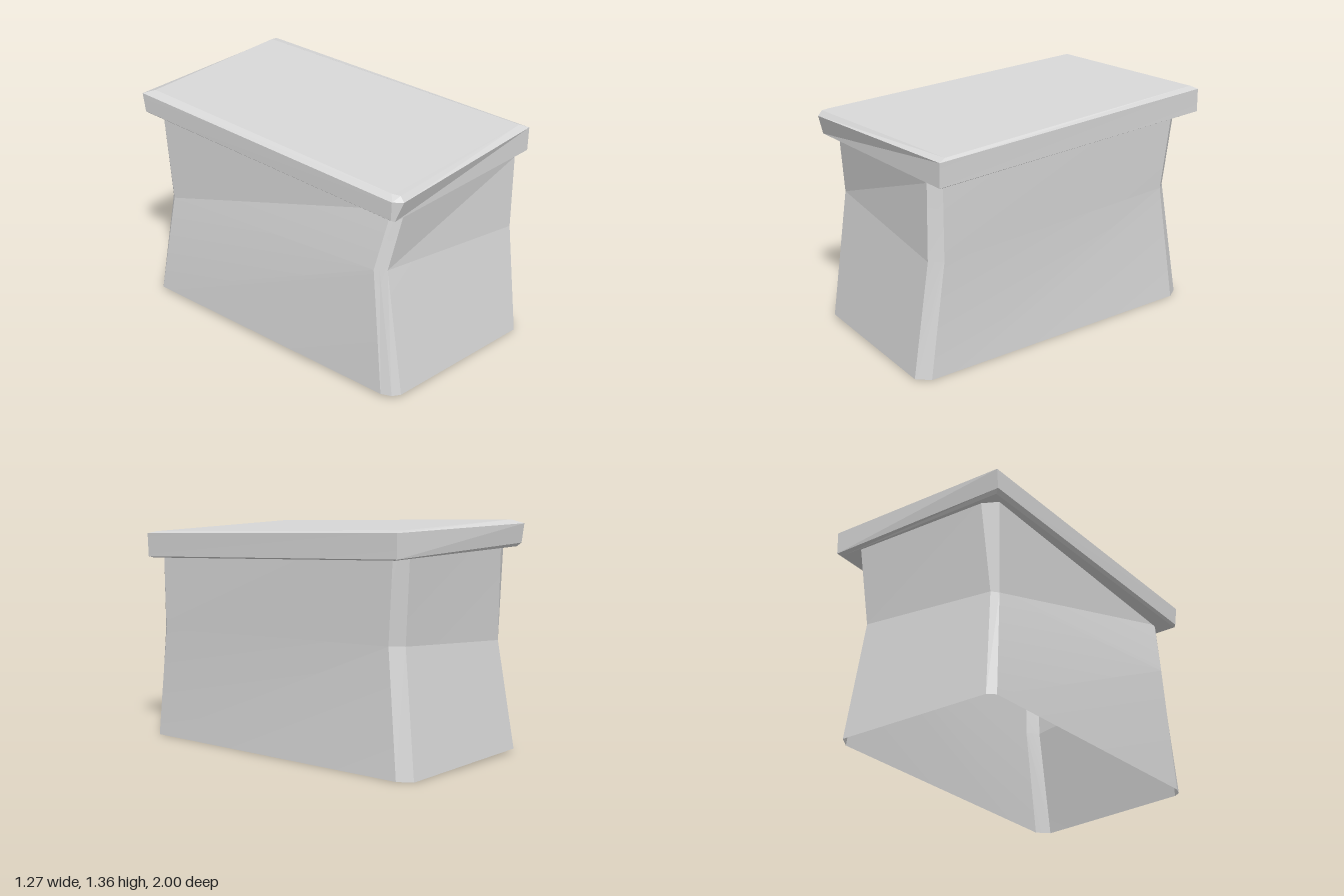
import * as THREE from 'three';
import { toCreasedNormals } from 'three/addons/utils/BufferGeometryUtils.js';

// Skin over stacked rings of [x, y, z] points, ordered anticlockwise seen from above
function loft(rings, capped) {
  const pos = [];
  const tri = (a, b, c) => pos.push(...a, ...b, ...c);
  const n = rings[0].length;
  for (let r = 0; r < rings.length - 1; r++) {
    const lo = rings[r], hi = rings[r + 1];
    for (let i = 0; i < n; i++) {
      const j = (i + 1) % n;
      tri(lo[i], lo[j], hi[j]);
      tri(lo[i], hi[j], hi[i]);
    }
  }
  if (capped) {
    const base = rings[0], top = rings[rings.length - 1];
    for (let i = 1; i < n - 1; i++) {
      tri(base[0], base[i + 1], base[i]);
      tri(top[0], top[i], top[i + 1]);
    }
  }
  const geo = new THREE.BufferGeometry();
  geo.setAttribute('position', new THREE.Float32BufferAttribute(pos, 3));
  return toCreasedNormals(geo, 0.12); // blends slightly warped faces, keeps edges sharp
}

export function createModel() {
  const model = new THREE.Group();
  const stone = new THREE.MeshStandardMaterial({ color: 0xd8d8d8, side: THREE.DoubleSide });
  stone.name = 'greyStone';

  const add = (name, rings, capped) => {
    const mesh = new THREE.Mesh(loft(rings, capped), stone);
    mesh.name = name;
    model.add(mesh);
  };

  // Hollow pinched block with chamfered corners, open below: base, waist, top
  add('pedestalBody', [
    [[-0.57, 0.02, 0.85], [-0.545, 0.02, 0.91], [-0.5, 0.02, 0.94], [0.49, 0, 1.0], [0.555, 0, 0.93],
      [0.446, 0, -0.92], [0.39, 0, -1.0], [-0.57, 0.02, -0.95], [-0.61, 0.02, -0.91]],
    [[-0.55, 0.78, 0.77], [-0.53, 0.78, 0.795], [-0.505, 0.78, 0.83], [0.505, 0.67, 0.91], [0.56, 0.67, 0.84],
      [0.41, 0.72, -0.83], [0.35, 0.72, -0.9], [-0.52, 0.66, -0.86], [-0.55, 0.66, -0.82]],
    [[-0.48, 1.14, 0.83], [-0.465, 1.14, 0.86], [-0.445, 1.14, 0.89], [0.51, 1.115, 0.91], [0.565, 1.115, 0.845],
      [0.437, 1.2, -0.88], [0.38, 1.2, -0.95], [-0.48, 1.215, -0.9], [-0.57, 1.215, -0.85]],
  ], false);

  // Tilted, uneven slab: underside, lower edge, upper edge, top face
  add('topSlab', [
    [[-0.57, 1.132, 0.89], [-0.55, 1.13, 0.905], [0.615, 1.108, 0.88], [0.515, 1.195, -0.965], [-0.605, 1.205, -0.92]],
    [[-0.585, 1.143, 0.91], [-0.57, 1.135, 0.925], [0.632, 1.115, 0.91], [0.532, 1.203, -0.993], [-0.63, 1.225, -0.935]],
    [[-0.592, 1.255, 0.92], [-0.548, 1.252, 0.965], [0.638, 1.255, 0.91], [0.533, 1.34, -0.993], [-0.634, 1.338, -0.95]],
    [[-0.558, 1.283, 0.89], [-0.545, 1.282, 0.94], [0.61, 1.268, 0.86], [0.48, 1.35, -0.98], [-0.585, 1.36, -0.89]],
  ], true);

  return model;
}
